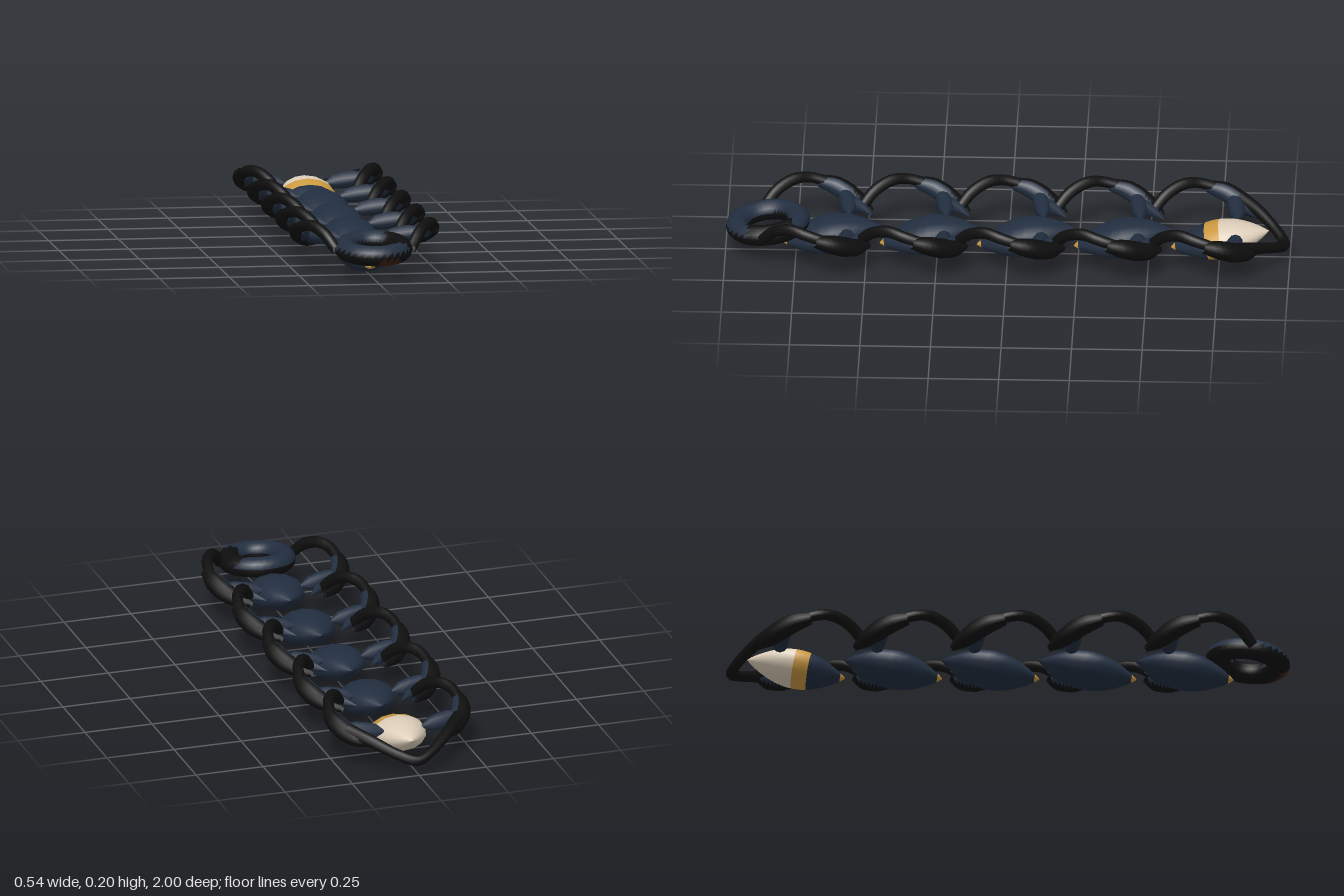
import * as THREE from 'three';

const mat = (name, color) => Object.assign(new THREE.MeshStandardMaterial({ color }), { name });

export function createModel() {
  const black = mat('black', 0x0e0e0f);
  const navy = mat('navy', 0x222e40);
  const gold = mat('gold', 0xcc9a42);
  const cream = mat('cream', 0xdccdb8);
  const brown = mat('brown', 0x3d2010);
  for (const m of [black, navy, gold, cream, brown]) m.side = THREE.DoubleSide;

  const model = new THREE.Group();
  model.name = 'chain';
  const add = (parent, name, geometry, material) => {
    const mesh = new THREE.Mesh(geometry, material);
    mesh.name = name;
    parent.add(mesh);
    return mesh;
  };

  // Tube along a path whose radius follows a list of values
  const sweep = (points, radii, steps = 14, sides = 10) => {
    const curve = new THREE.CatmullRomCurve3(points.map((p) => new THREE.Vector3(...p)));
    const geo = new THREE.TubeGeometry(curve, steps, 1, sides);
    const pos = geo.attributes.position;
    const v = new THREE.Vector3();
    for (let i = 0; i < pos.count; i++) {
      const u = Math.floor(i / (sides + 1)) / steps;
      const c = curve.getPointAt(u);
      const t = u * (radii.length - 1);
      const k = Math.min(Math.floor(t), radii.length - 2);
      const r = THREE.MathUtils.lerp(radii[k], radii[k + 1], t - k);
      v.fromBufferAttribute(pos, i).sub(c).multiplyScalar(r).add(c);
      pos.setXYZ(i, v.x, v.y, v.z);
    }
    return geo;
  };

  // Sort triangles into material groups by a rule on their centre and normal
  const paint = (geo, count, rule) => {
    const index = geo.index.array;
    const { position, normal } = geo.attributes;
    const buckets = Array.from({ length: count }, () => []);
    const p = new THREE.Vector3(), n = new THREE.Vector3(), v = new THREE.Vector3();
    for (let i = 0; i < index.length; i += 3) {
      p.set(0, 0, 0);
      n.set(0, 0, 0);
      for (let j = 0; j < 3; j++) {
        p.add(v.fromBufferAttribute(position, index[i + j]));
        n.add(v.fromBufferAttribute(normal, index[i + j]));
      }
      buckets[rule(p.divideScalar(3), n.normalize())].push(index[i], index[i + 1], index[i + 2]);
    }
    geo.setIndex(buckets.flat());
    geo.clearGroups();
    let start = 0;
    buckets.forEach((b, k) => {
      geo.addGroup(start, b.length, k);
      start += b.length;
    });
    return geo;
  };

  // Slice of a spindle bead between two positions along its length (0 back, 1 front)
  const beadSlice = (from, to) => {
    const profile = [];
    for (let i = 0; i <= 10; i++) {
      const t = from + ((to - from) * i) / 10;
      profile.push(new THREE.Vector2(Math.max(0.0005, 0.1 * Math.pow(Math.sin(Math.PI * t), 0.85)), (t - 0.5) * 0.355));
    }
    return new THREE.LatheGeometry(profile, 14).rotateX(Math.PI / 2).scale(1, 0.64, 1).rotateX(0.2);
  };

  const segments = 5;
  for (let s = 0; s < segments; s++) {
    const c = 0.67 - 0.344 * s;
    const last = s === segments - 1;
    const segment = new THREE.Group();
    segment.name = 'segment' + (s + 1);
    model.add(segment);

    // Bead with a gold front tip; the rear bead ends in a gold band and a pale cap
    const bead = new THREE.Group();
    bead.name = 'bead';
    bead.position.set(0, 0.07, c - 0.045);
    segment.add(bead);
    add(bead, 'beadBody', beadSlice(last ? 0.63 : 0, 0.95), navy);
    add(bead, 'beadTip', beadSlice(0.95, 1), gold);
    if (last) {
      add(bead, 'beadBand', beadSlice(0.48, 0.63), gold);
      add(bead, 'beadCap', beadSlice(0, 0.48), cream);
    }

    for (const side of [1, -1]) {
      const at = (list) => list.map(([x, y, z]) => [x * side, y, c + z]);
      // Thin arch rising from the previous link
      add(segment, 'arch', sweep(
        at([[0.135, 0.11, 0.195], [0.168, 0.158, 0.15], [0.205, 0.182, 0.09], [0.23, 0.176, 0.04], [0.238, 0.155, -0.03]]),
        [0.019, 0.021, 0.021, 0.02, 0.019]), black);
      // Thick sheath sweeping inward and down
      const sheath = sweep(
        at([[0.242, 0.157, 0.005], [0.232, 0.14, -0.06], [0.195, 0.112, -0.125], [0.135, 0.095, -0.18]]),
        [0.022, 0.034, 0.036, 0.03, 0.012]);
      add(segment, 'sheath', paint(sheath, 2, (p, n) => (n.x * side < -0.45 ? 1 : 0)), [black, navy]);
      // Rounded arm joining the sheath to the bead
      add(segment, 'arm', sweep(
        at([[0.21, 0.128, -0.085], [0.14, 0.118, -0.1], [0.066, 0.106, -0.105]]),
        [0.018, 0.029, 0.03, 0.026, 0.002], 12), navy);
      // Small inner spike
      if (!last) {
        add(segment, 'spike', sweep(
          at([[0.175, 0.118, -0.1], [0.125, 0.112, -0.15], [0.082, 0.102, -0.187]]),
          [0.02, 0.022, 0.001], 8), navy);
      }
    }
  }

  // Rear pointed bow closing the chain
  const half = [[0.205, 0.13, -0.82], [0.145, 0.108, -0.885], [0.06, 0.07, -0.955]];
  add(model, 'rearBow', sweep(
    [...half, [0, 0.052, -0.98], ...half.slice().reverse().map(([x, y, z]) => [-x, y, z])],
    [0.026, 0.022, 0.019, 0.02, 0.019, 0.022, 0.026], 28), black);

  // Front ring, dark below and on one flank, with a small brown patch
  const ring = new THREE.TorusGeometry(0.102, 0.037, 12, 32).rotateX(Math.PI / 2).scale(1, 1, 1.08).rotateX(0.12);
  paint(ring, 3, (p, n) => {
    if (n.y < -0.3 && n.z > 0.1 && p.x > 0 && p.x < 0.08 && p.z > 0.08) return 2;
    return n.y < 0.15 || (p.x > 0.05 && p.z < 0.07 && p.z > -0.09) ? 1 : 0;
  });
  add(model, 'frontRing', ring, [navy, black, brown]).position.set(0, 0.11, 0.85);

  return model;
}
